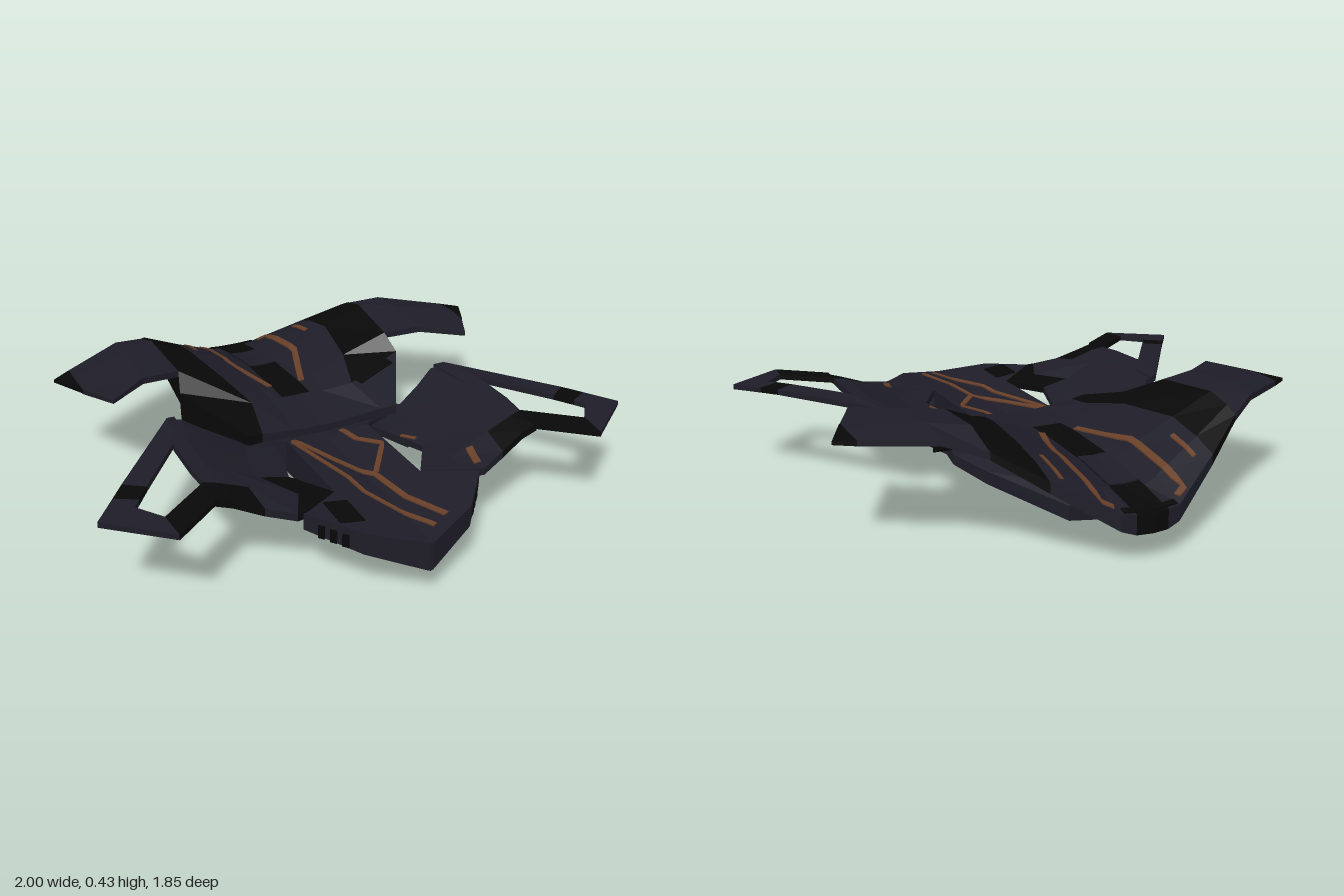
import * as THREE from 'three';

const paint = (name, color) => {
  const m = new THREE.MeshStandardMaterial({ color });
  m.name = name;
  return m;
};

export function createModel() {
  const model = new THREE.Group();
  const mats = [paint('navy', 0x1e1d28), paint('black', 0x080808), paint('copper', 0x673f28)];
  const NAVY = 0, BLACK = 1, COPPER = 2;

  // Plate with thickness from a grid of [x, y, z, thickness]; colours chosen per cell, above and below
  function slab(name, grid, colour = () => NAVY, under = colour) {
    const buckets = [[], [], []];
    const quad = (c, a, b, d, e, flip) => {
      const q = flip ? [e, d, b, a] : [a, b, d, e];
      for (const k of [0, 1, 2, 0, 2, 3]) buckets[c].push(q[k][0], q[k][1], q[k][2]);
    };
    const low = p => [p[0], p[1] - (p[3] ?? 0.025), p[2]];
    const R = grid.length - 1, C = grid[0].length - 1;
    let up = 0;
    for (let i = 0; i < R; i++) for (let j = 0; j < C; j++) {
      const a = grid[i][j], b = grid[i + 1][j + 1], c = grid[i + 1][j], d = grid[i][j + 1];
      up += (b[2] - a[2]) * (d[0] - c[0]) - (b[0] - a[0]) * (d[2] - c[2]);
    }
    const flip = up < 0;
    for (let i = 0; i < R; i++) for (let j = 0; j < C; j++) {
      const c = colour(i, j);
      const q = [grid[i][j], grid[i + 1][j], grid[i + 1][j + 1], grid[i][j + 1]];
      quad(c, ...q, flip);
      quad(under(i, j), ...q.map(low), !flip);
      const rim = [j === 0, i === R - 1, j === C - 1, i === 0];
      rim.forEach((on, k) => {
        const a = q[k], b = q[(k + 1) % 4];
        if (on) quad(c, a, low(a), low(b), b, flip);
      });
    }
    const geo = new THREE.BufferGeometry();
    geo.setAttribute('position', new THREE.Float32BufferAttribute(buckets.flat(), 3));
    let start = 0;
    buckets.forEach((b, k) => {
      if (b.length) geo.addGroup(start, b.length / 3, k);
      start += b.length / 3;
    });
    geo.computeVertexNormals();
    const mesh = new THREE.Mesh(geo, mats);
    mesh.name = name;
    model.add(mesh);
    return mesh;
  }
  const mirror = (grid, s) => grid.map(r => r.map(([x, ...rest]) => [x * s, ...rest]));
  const full = half => half.map(r => [
    ...r.slice().reverse().filter(p => p[0] > 0).map(([x, ...rest]) => [-x, ...rest]), ...r]);

  // Painted ribbon draped on a surface along an [x, z] path
  const ray = new THREE.Raycaster(), down = new THREE.Vector3(0, -1, 0);
  function stripe(name, base, path, width, mat) {
    const rows = [];
    const drop = (x, z) => {
      ray.set(new THREE.Vector3(x, 2, z), down);
      const hit = ray.intersectObject(base)[0];
      return hit ? [x, hit.point.y + 0.005, z, 0.006] : null;
    };
    for (let k = 0; k + 1 < path.length; k++) {
      const [x0, z0] = path[k], [x1, z1] = path[k + 1];
      const len = Math.hypot(x1 - x0, z1 - z0);
      const nx = (z1 - z0) / len * width / 2, nz = -(x1 - x0) / len * width / 2;
      for (let t = k ? 1 : 0; t <= 6; t++) {
        const x = x0 + (x1 - x0) * t / 6, z = z0 + (z1 - z0) * t / 6;
        const row = [drop(x - nx, z - nz), drop(x, z), drop(x + nx, z + nz)];
        if (row.every(Boolean)) rows.push(row);
      }
    }
    if (rows.length > 1) slab(name, rows, () => mat);
  }

  // Keeled hull, narrow at the rear: z, half width, keel y, lower edge y, upper edge y, centre top y
  const hullRows = [
    [-0.56, 0.11, 0.015, 0.03, 0.085, 0.12], [-0.25, 0.28, 0, 0.09, 0.14, 0.2],
    [-0.1, 0.35, 0.012, 0.13, 0.17, 0.2], [0.02, 0.34, 0.022, 0.15, 0.2, 0.2],
    [0.09, 0.22, 0.028, 0.12, 0.22, 0.2], [0.13, 0.17, 0.032, 0.1, 0.228, 0.203],
    [0.54, 0.17, 0.067, 0.13, 0.236, 0.211], [0.66, 0.34, 0.077, 0.2, 0.264, 0.213],
    [0.83, 0.2, 0.092, 0.165, 0.247, 0.217], [0.92, 0.01, 0.1, 0.104, 0.213, 0.212]];
  const hull = slab('hull', full(hullRows.map(([z, w, k, e, t, c]) => [[0, c, z, c - k], [w, t, z, t - e]])),
    () => NAVY, i => i > 3 ? BLACK : NAVY);
  stripe('noseShade', hull, [[-0.2, 0.61], [-0.205, 0.78]], 0.09, BLACK);

  // Rear deck, rising on both sides of a central spine
  const deckRows = [
    [[0, 0.17, -0.925, 0.07], [0.06, 0.172, -0.92, 0.07], [0.11, 0.178, -0.91, 0.06], [0.31, 0.285, -0.8, 0.04], [0.47, 0.375, -0.7, 0.025]],
    [[0, 0.2, -0.77, 0.145], [0.06, 0.205, -0.77, 0.13], [0.11, 0.225, -0.76, 0.11], [0.31, 0.32, -0.7, 0.06], [0.47, 0.4, -0.65, 0.025]],
    [[0, 0.235, -0.56, 0.165], [0.06, 0.24, -0.56, 0.15], [0.13, 0.27, -0.56, 0.15], [0.31, 0.35, -0.55, 0.12], [0.47, 0.425, -0.55, 0.04]],
    [[0, 0.257, -0.28, 0.14], [0.06, 0.258, -0.28, 0.14], [0.12, 0.27, -0.28, 0.13], [0.265, 0.335, -0.28, 0.15], [0.45, 0.405, -0.27, 0.14]],
    [[0, 0.255, -0.17, 0.08], [0.06, 0.256, -0.17, 0.08], [0.11, 0.26, -0.15, 0.08], [0.215, 0.295, -0.1, 0.11], [0.47, 0.345, -0.2, 0.12]],
    [[0, 0.238, 0.08, 0.03], [0.06, 0.24, 0.082, 0.03], [0.12, 0.245, 0.085, 0.03], [0.25, 0.26, 0.09, 0.035], [0.31, 0.268, 0.1, 0.04]]];
  const deck = slab('rearDeck', full(deckRows), (i, j) => {
    const k = j < 4 ? 3 - j : j - 4;
    return (k === 3 && (i < 4 || j < 4)) || (k === 0 && i < 4) ? BLACK : NAVY;
  });
  stripe('spinePatch', deck, [[0, -0.735], [0, -0.52]], 0.115, NAVY);
  stripe('tailCap', deck, [[-0.1, -0.895], [0, -0.9], [0.1, -0.895]], 0.024, BLACK);
  stripe('deckCorner', deck, [[0.24, -0.1], [0.41, -0.16]], 0.05, BLACK);

  for (const s of [1, -1]) {
    const side = s > 0 ? 'left' : 'right';
    // Rear wing and its dark tip
    slab(side + 'RearWing', mirror([
      [[0.47, 0.375, -0.7], [0.6, 0.415, -0.615], [0.83, 0.4, -0.465, 0.02]],
      [[0.47, 0.425, -0.55, 0.03], [0.6, 0.43, -0.47, 0.035], [0.83, 0.406, -0.37, 0.025]],
      [[0.45, 0.405, -0.27], [0.6, 0.418, -0.24], [0.825, 0.403, -0.27, 0.02]]], s));
    slab(side + 'RearWingTip', mirror([
      [[0.6, 0.418, -0.24], [0.75, 0.41, -0.12, 0.015]],
      [[0.7, 0.412, -0.265], [0.825, 0.403, -0.27, 0.02]]], s));
    slab(side + 'RearWingEnd', mirror([
      [[0.83, 0.4, -0.465, 0.02], [0.9, 0.393, -0.42, 0.012]],
      [[0.825, 0.403, -0.27, 0.02], [0.83, 0.402, -0.275, 0.015]]], s), () => BLACK);

    // Front wing sweeping up from the nose
    const wing = slab(side + 'FrontWing', mirror([
      [[0.2, 0.2, 0.1], [0.31, 0.22, 0.07, 0.04], [0.45, 0.29, 0.02, 0.05], [0.53, 0.33, -0.02, 0.035], [0.585, 0.348, -0.01]],
      [[0.22, 0.215, 0.2], [0.36, 0.25, 0.2, 0.05], [0.48, 0.31, 0.2, 0.06], [0.57, 0.347, 0.2, 0.04], [0.63, 0.358, 0.2]],
      [[0.27, 0.235, 0.38], [0.38, 0.26, 0.38, 0.05], [0.5, 0.32, 0.38, 0.06], [0.57, 0.347, 0.38, 0.04], [0.63, 0.358, 0.38]],
      [[0.17, 0.237, 0.54], [0.3, 0.255, 0.53, 0.05], [0.47, 0.31, 0.5, 0.06], [0.57, 0.345, 0.49, 0.04], [0.62, 0.355, 0.48]],
      [[0.33, 0.266, 0.66], [0.36, 0.267, 0.66, 0.03], [0.46, 0.29, 0.62, 0.03], [0.56, 0.33, 0.59, 0.03], [0.62, 0.348, 0.59]]], s),
    (i, j) => (i === 3 && j > 1) || (s < 0 && i > 1 && j < 1) ? BLACK : NAVY, () => BLACK);
    if (s > 0) {
      stripe('wingFleck', wing, [[0.375, 0.53], [0.355, 0.62]], 0.025, COPPER);
      stripe('wingFleck', wing, [[0.245, 0.26], [0.275, 0.32]], 0.012, COPPER);
    }

    // Open frame at the wing end
    const t = 0.02;
    slab(side + 'WingFrame', mirror([
      [[0.55, 0.342, -0.03, t], [0.585, 0.353, -0.01, t], [0.87, 0.36, 0.39, t], [0.92, 0.358, 0.46, t], [1, 0.354, 0.57, t], [0.79, 0.352, 0.74, t], [0.61, 0.352, 0.59, t]],
      [[0.57, 0.347, 0.2, t], [0.63, 0.361, 0.2, t], [0.8, 0.362, 0.44, t], [0.845, 0.36, 0.505, t], [0.87, 0.358, 0.54, t], [0.8, 0.356, 0.63, t], [0.62, 0.356, 0.48, t]]], s),
    (i, j) => j === 2 || j === 5 ? BLACK : NAVY);

    // Side strake beneath the wing
    slab(side + 'Strake', mirror([
      [[0.2, 0.17, -0.1, 0.05], [0.32, 0.19, -0.1, 0.05]],
      [[0.3, 0.18, 0.22, 0.04], [0.5, 0.26, 0.22, 0.05]]], s));

    // Nose vents
    for (const f of [0.3, 0.5, 0.7]) {
      const vent = new THREE.Mesh(new THREE.BoxGeometry(0.025, 0.05, 0.006), mats[BLACK]);
      vent.name = side + 'NoseVent';
      vent.position.set(s * (0.2 + 0.14 * f), 0.195 + 0.02 * f, 0.83 - 0.17 * f);
      vent.rotation.y = s * Math.atan2(0.77, 0.635);
      model.add(vent);
    }

    // Copper trim on the rear deck
    stripe(side + 'DeckTrim', deck, [[0.12, -0.875], [0.155, -0.86], [0.15, -0.52], [0.07, -0.27]].map(([x, z]) => [s * x, z]), 0.024, COPPER);
    stripe(side + 'DeckDash', deck, [[s * 0.255, -0.77], [s * 0.255, -0.63]], 0.016, COPPER);
  }

  // Copper veins on the front hull
  const veins = [
    [[-0.15, 0.14], [-0.07, 0.45], [-0.065, 0.56], [0, 0.74], [0.05, 0.85]],
    [[-0.14, 0.12], [-0.06, 0.3], [0, 0.42], [0.03, 0.46], [0.05, 0.65], [0.11, 0.82]],
    [[0.07, 0.1], [0.085, 0.2], [0.15, 0.29], [0.04, 0.45]]];
  veins.forEach((v, i) => stripe('hullVein', hull, v, [0.018, 0.022, 0.02][i], COPPER));
  return model;
}
